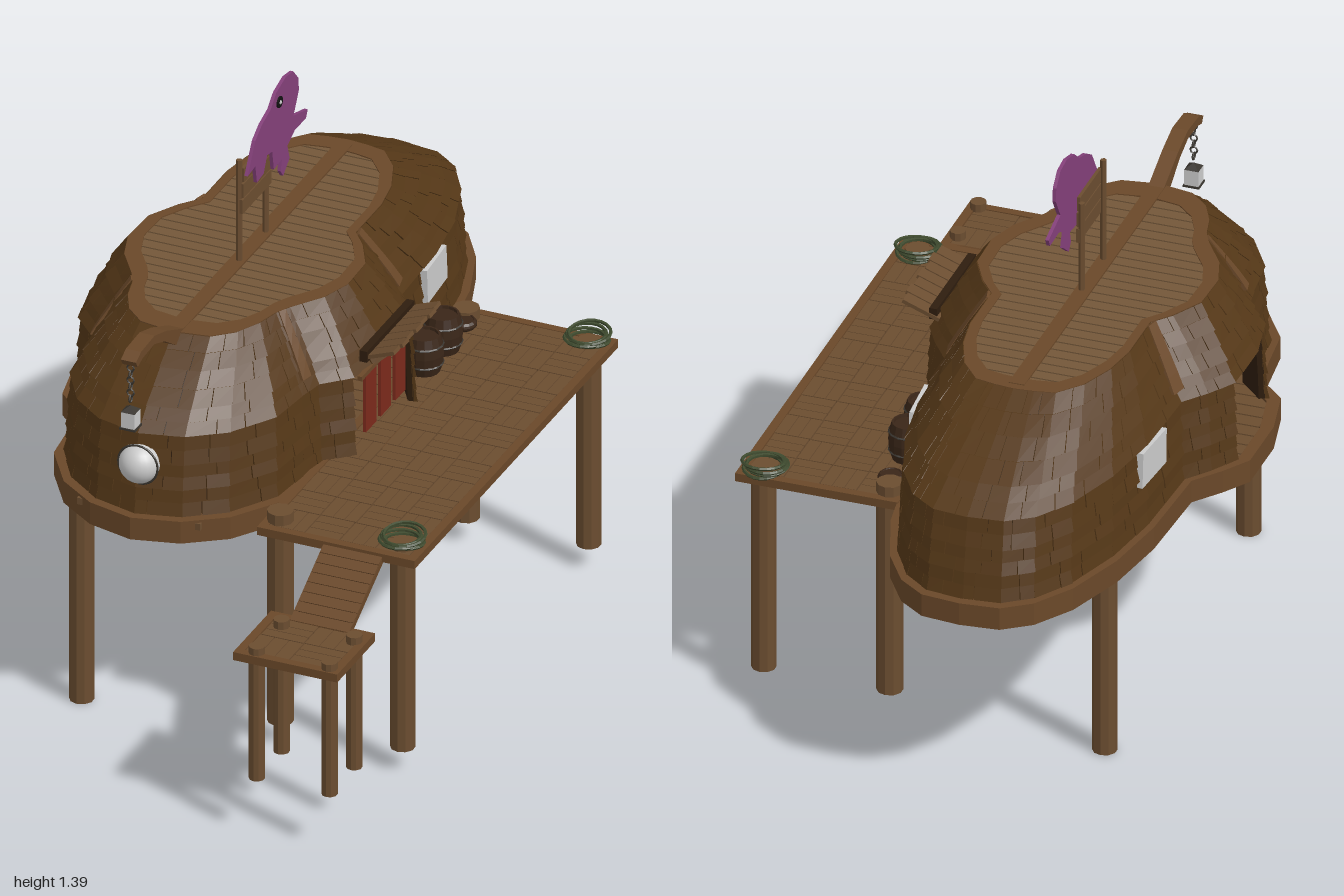
import * as THREE from 'three';
import { mergeGeometries } from 'three/addons/utils/BufferGeometryUtils.js';

const mat = (color) => new THREE.MeshStandardMaterial({ color, flatShading: true });
const M = {
  wall: mat(0x543717), dark: mat(0x2e1d0e), rim: mat(0x6a4829), wood: mat(0x6b4d30),
  roof: mat(0x735739), barrel: mat(0x3a2618), red: mat(0x7c2a1c), purple: mat(0x84407a),
  rope: mat(0x3e4a2e), black: mat(0x111111), metal: mat(0x39352f),
  grey: new THREE.MeshStandardMaterial({ color: 0xcccccc }),
};
const CX = -0.145;

// Half outlines [half width, z], front to back: floor rim and roof edge
const RIM = [[0, 0.68], [0.12, 0.65], [0.22, 0.58], [0.3, 0.46], [0.315, 0.33], [0.33, 0.25], [0.4, 0.185],
  [0.43, 0.05], [0.43, -0.12], [0.385, -0.19], [0.33, -0.26], [0.32, -0.5], [0.29, -0.68], [0.235, -0.84],
  [0.17, -0.94], [0.1, -0.99], [0, -1]];
const ROOF = [[0, 0.42], [0.09, 0.405], [0.14, 0.36], [0.17, 0.3], [0.185, 0.24], [0.205, 0.2], [0.26, 0.12],
  [0.286, 0.04], [0.283, -0.07], [0.24, -0.15], [0.2, -0.2], [0.2, -0.35], [0.185, -0.44], [0.15, -0.53],
  [0.1, -0.59], [0.05, -0.6], [0, -0.605]];
const WALL = RIM.map(([w, z]) => [w * 0.91, -0.16 + (z + 0.16) * 0.958]);
// Wall levels [y, blend from wall foot to roof edge]
const LEVELS = [[0.61, 0], [0.68, 0.02], [0.745, 0.05], [0.82, 0.09], [0.87, 0.31], [0.935, 0.66], [0.995, 1]];

const lerp = THREE.MathUtils.lerp;
let seed = 7;
const rand = () => (seed = (seed * 16807) % 2147483647) / 2147483647;

function ring(half, t) {
  t = ((t % 32) + 32) % 32;
  const side = t <= 16 ? 1 : -1, h = t <= 16 ? t : 32 - t;
  const i = Math.min(15, Math.floor(h)), f = h - i;
  return [side * lerp(half[i][0], half[i + 1][0], f), lerp(half[i][1], half[i + 1][1], f)];
}
function blendAt(y) {
  let k = 0;
  while (k < LEVELS.length - 2 && y > LEVELS[k + 1][0]) k++;
  const [a, b] = [LEVELS[k], LEVELS[k + 1]];
  return lerp(a[1], b[1], (y - a[0]) / (b[0] - a[0]));
}
function shellPoint(t, y, out) {
  const s = blendAt(y);
  const at = (u) => { const a = ring(WALL, u), b = ring(ROOF, u); return [lerp(a[0], b[0], s), lerp(a[1], b[1], s)]; };
  const p = at(t), a = at(t - 0.5), b = at(t + 0.5);
  const tx = b[0] - a[0], tz = b[1] - a[1], l = Math.hypot(tx, tz);
  return [CX + p[0] - (tz / l) * out, y + out * s * 0.4, p[1] + (tx / l) * out];
}
// Box bent onto the wall; its top edge may tuck in to overlap like clapboard
function shellBox(t0, t1, y0, y1, inner, outLow, outTop, segs = 1) {
  const g = new THREE.BoxGeometry(1, 1, 1, 1, segs, 1), p = g.attributes.position;
  for (let i = 0; i < p.count; i++) {
    const u = p.getX(i) + 0.5, v = p.getY(i) + 0.5, w = p.getZ(i) + 0.5;
    p.setXYZ(i, ...shellPoint(lerp(t0, t1, u), lerp(y0, y1, v), lerp(inner, lerp(outLow, outTop, v), w)));
  }
  g.computeVertexNormals();
  return g;
}
function outline(half, k = 1) {
  return Array.from({ length: 32 }, (_, i) => {
    const [x, z] = ring(half, i);
    return new THREE.Vector2(CX + x * k, -(-0.16 + (z + 0.16) * k));
  });
}
function slab(half, y, h, k = 1, hole = 0) {
  const shape = new THREE.Shape(outline(half, k));
  if (hole) shape.holes.push(new THREE.Path(outline(half, hole)));
  return new THREE.ExtrudeGeometry(shape, { depth: h, bevelEnabled: false }).rotateX(-Math.PI / 2).translate(0, y, 0);
}
const box = (w, h, d, x, y, z) => new THREE.BoxGeometry(w, h, d).translate(x, y, z);
const post = (r, y0, y1, x, z, n = 10) => new THREE.CylinderGeometry(r, r, y1 - y0, n).translate(x, (y0 + y1) / 2, z);

// Planks laid across an outline
function crossPlanks(half, z0, z1, step, k, h, y) {
  const out = [];
  for (let z = z0; z < z1; z += step) {
    const i = half.findIndex((p) => p[1] < z), a = half[i - 1], b = half[i];
    const w = lerp(a[0], b[0], (z - a[1]) / (b[1] - a[1])) * k;
    out.push(box(w * 2, h, step - 0.005, CX, y, z));
  }
  return out;
}
// Basket-weave planking with open gaps
function weave(x0, x1, z0, z1, y, nx, nz) {
  const out = [], cw = (x1 - x0) / nx, cd = (z1 - z0) / nz;
  for (let i = 0; i < nx; i++) for (let j = 0; j < nz; j++) for (let k = 0; k < 3; k++) {
    const x = x0 + (i + 0.5) * cw, z = z0 + (j + 0.5) * cd, o = (k - 1) / 3;
    out.push((i + j) % 2 ? box(cw / 3 - 0.002, 0.018, cd - 0.005, x + o * cw, y, z)
      : box(cw - 0.005, 0.018, cd / 3 - 0.002, x, y, z + o * cd));
  }
  return out;
}
function frame(x0, x1, z0, z1, y) {
  const w = 0.022, h = 0.022, xm = (x0 + x1) / 2, zm = (z0 + z1) / 2;
  return [box(x1 - x0, h, w, xm, y, z0 + w / 2), box(x1 - x0, h, w, xm, y, z1 - w / 2),
    box(w, h, z1 - z0, x0 + w / 2, y, zm), box(w, h, z1 - z0, x1 - w / 2, y, zm)];
}
// Flat cutout drawn in (-z, y) and extruded along x
const cutout = (points, depth, x) => new THREE.ExtrudeGeometry(
  new THREE.Shape(points.map(([a, b]) => new THREE.Vector2(a, b))), { depth, bevelEnabled: false })
  .rotateY(Math.PI / 2).translate(x, 0, 0);

export function createModel() {
  const root = new THREE.Group();
  const add = (name, material, geos) => {
    const list = [geos].flat().map((g) => (g.index ? g.toNonIndexed() : g));
    const m = new THREE.Mesh(mergeGeometries(list), material);
    m.name = name;
    root.add(m);
  };

  // Hut floor, recessed inside a deep rim
  add('floorRim', M.rim, slab(RIM, 0.55, 0.06, 1, 0.93));
  add('hutFloor', M.dark, slab(RIM, 0.59, 0.008, 0.94));
  add('floorPlanks', M.wood, crossPlanks(RIM, -0.92, 0.62, 0.045, 0.92, 0.018, 0.594));

  // Walls: dark backing and staggered planks, open at both doorways
  const backing = [], planks = [];
  for (let k = 0; k < LEVELS.length - 1; k++) for (let i = 0; i < 32; i++) {
    const h = i < 16 ? i : 31 - i;
    if (k < 3 && (h === 6 || h === 7)) continue;
    const y0 = LEVELS[k][0], y1 = LEVELS[k + 1][0];
    backing.push(shellBox(i, i + 1, y0, y1, -0.015, 0, 0));
    for (let r = 0; r < 2; r++) {
      const a = lerp(y0, y1, r / 2), b = lerp(y0, y1, (r + 1) / 2) - 0.001;
      const cut = i + 0.25 + 0.5 * rand(), low = (r ? 0.007 : 0.01) + 0.002 * rand();
      planks.push(shellBox(i, cut - 0.01, a, b, -0.002, low, 0.005));
      planks.push(shellBox(cut + 0.01, i + 1, a, b, -0.002, low + 0.002 * rand(), 0.005));
    }
  }
  add('wallBacking', M.dark, backing);
  add('wallPlanks', M.wall, planks);
  add('wallRibs', M.rim, [[4.15, 4.65], [9.8, 10.15], [21.85, 22.2], [27.35, 27.85]].map(([a, b]) =>
    shellBox(a, b, 0.85, 0.995, 0, 0.016, 0.008, 4)));

  // Roof deck with cross planks, edge trim and ridge beam
  add('roofBase', M.dark, slab(ROOF, 0.975, 0.013));
  add('roofTrim', M.rim, slab(ROOF, 0.982, 0.015, 1.015, 0.9));
  add('roofPlanks', M.roof, crossPlanks(ROOF, -0.56, 0.4, 0.036, 0.94, 0.012, 0.988));
  add('ridgeBeam', M.rim, box(0.04, 0.014, 1, CX, 0.992, -0.09));

  // Curved lantern arm, chain and lantern
  add('lanternArm', M.rim, cutout([[-0.4, 0.97], [-0.445, 0.97], [-0.52, 1.02], [-0.58, 1.043], [-0.65, 1.04],
    [-0.68, 1.03], [-0.69, 1.047], [-0.66, 1.062], [-0.58, 1.066], [-0.51, 1.044], [-0.4, 0.995]], 0.04, CX - 0.02));
  add('lanternChain', M.metal, Array.from({ length: 6 }, (_, i) =>
    new THREE.TorusGeometry(0.009, 0.0025, 4, 8).rotateY((i % 2) * Math.PI / 2).translate(CX, 1.022 - i * 0.017, 0.677)));
  add('lanternGlass', M.grey, box(0.036, 0.042, 0.036, CX, 0.884, 0.677));
  add('lanternCaps', M.metal, [box(0.042, 0.005, 0.042, CX, 0.861, 0.677),
    new THREE.ConeGeometry(0.026, 0.014, 4).rotateY(Math.PI / 4).translate(CX, 0.912, 0.677)]);

  // Windows
  add('roundWindow', M.grey, new THREE.SphereGeometry(0.051, 24, 16).translate(CX + 0.005, 0.74, 0.634));
  add('roundWindowFrame', M.metal, new THREE.TorusGeometry(0.052, 0.003, 6, 24).translate(CX + 0.005, 0.74, 0.645));
  add('sideWindows', M.grey, [[10.58, 11.26], [20.74, 21.42]].map(([a, b]) => shellBox(a, b, 0.728, 0.82, -0.01, 0.02, 0.024)));

  // Doorway curtains and awning
  add('curtains', M.red, [0.107, 0.02, -0.067].map((z) => box(0.008, 0.155, 0.06, 0.232, 0.733, z)));
  add('curtainRail', M.rim, box(0.012, 0.012, 0.29, 0.232, 0.818, 0.022));
  add('awning', M.wood, Array.from({ length: 7 }, (_, i) =>
    box(0.1 + 0.012 * (i % 2), 0.01, 0.036, 0, 0, 0).rotateZ(0.36).translate(0.263, 0.873, 0.12 - i * 0.04)));
  add('awningBeam', M.dark, box(0.02, 0.03, 0.28, 0.232, 0.868, 0.005));

  // Deck on stilts
  add('deckPlanks', M.wood, weave(0.177, 0.55, -0.58, 0.58, 0.603, 4, 12));
  add('deckFrame', M.rim, [...frame(0.155, 0.572, -0.602, 0.602, 0.602),
    ...[-0.37, 0, 0.37].map((z) => box(0.4, 0.012, 0.03, 0.36, 0.59, z))]);
  add('stilts', M.wood, [[0.545, -0.333], [-0.555, -0.359]].flatMap(([z, x]) => [
    post(0.033, 0.06, 0.64, 0.192, z), post(0.031, 0.06, 0.622, 0.515, z), post(0.031, 0, 0.592, x, z)]));
  const coils = [];
  for (const z of [0.533, -0.562]) for (let i = 0; i < 4; i++) {
    coils.push(new THREE.TorusGeometry(0.048 + 0.003 * (i % 2), 0.0045, 5, 18).rotateX(Math.PI / 2 + 0.08 * (i - 1.5))
      .translate(0.508 + 0.006 * Math.cos(i * 2), 0.62 + i * 0.006, z + 0.006 * Math.sin(i * 2)));
  }
  add('ropeCoils', M.rope, coils);

  // Ramp and lower landing
  const ramp = [], slope = Math.atan2(0.11, 0.2);
  for (let i = 0; i < 8; i++) {
    const f = (i + 0.5) / 8;
    ramp.push(box(0.155, 0.012, 0.027, 0, 0, 0).rotateX(slope).translate(0.408, lerp(0.602, 0.49, f), lerp(0.595, 0.795, f)));
  }
  for (const x of [0.335, 0.48]) ramp.push(box(0.012, 0.016, 0.23, 0, 0, 0).rotateX(slope).translate(x, 0.541, 0.695));
  add('ramp', M.rim, ramp);
  add('landingPlanks', M.wood, weave(0.292, 0.523, 0.797, 0.978, 0.485, 2, 2));
  add('landingFrame', M.rim, frame(0.27, 0.545, 0.775, 1, 0.485));
  add('landingPosts', M.wood, [0.323, 0.515].flatMap((x) => [0.832, 0.978].map((z) => post(0.02, 0.15, 0.515, x, z))));

  // Barrels and low tub
  const barrel = (r, h, z) => new THREE.LatheGeometry([[0, 0], [0.8, 0], [0.96, 0.25], [1, 0.5], [0.96, 0.75], [0.82, 1],
    [0.72, 1], [0.7, 0.93], [0, 0.93]].map(([a, b]) => new THREE.Vector2(a * r, b * h)), 14).translate(0.205, 0.612, z);
  add('barrels', M.barrel, [barrel(0.049, 0.1, -0.275), barrel(0.049, 0.1, -0.387), barrel(0.034, 0.022, -0.508)]);
  add('barrelHoops', M.metal, [-0.275, -0.387].flatMap((z) => [0.637, 0.687].map((y) =>
    new THREE.TorusGeometry(0.047, 0.003, 4, 14).rotateX(Math.PI / 2).translate(0.205, y, z))));

  // Roof sign: posts, blank boards and sea-creature cutout
  add('signPosts', M.wood, [post(0.008, 0.99, 1.275, CX + 0.004, 0.043, 6), post(0.008, 0.99, 1.24, CX + 0.004, -0.113, 6)]);
  add('signBoards', M.wood, [1.15, 1.192, 1.234].map((y, i) => box(0.008, 0.038, 0.17 - 0.008 * i, CX + 0.012, y, -0.035)));
  add('creatureCutout', M.purple, cutout([[-0.045, 1.235], [0, 1.31], [0.04, 1.335], [0.09, 1.35], [0.125, 1.38],
    [0.18, 1.395], [0.225, 1.388], [0.255, 1.355], [0.258, 1.32], [0.235, 1.28], [0.225, 1.265], [0.31, 1.24], [0.3, 1.22],
    [0.235, 1.222], [0.19, 1.2], [0.203, 1.16], [0.165, 1.13], [0.15, 1.15], [0.158, 1.18], [0.11, 1.175], [0.1, 1.23],
    [0.07, 1.235], [0.05, 1.195], [0.01, 1.19], [0, 1.24]], 0.009, -0.127));
  const disc = (r, x) => new THREE.CylinderGeometry(r, r, 0.006, 14).rotateZ(Math.PI / 2).translate(x, 1.347, -0.14);
  add('creatureEye', M.black, disc(0.015, -0.117));
  add('creatureEyeGlint', M.grey, disc(0.005, -0.115));
  return root;
}
